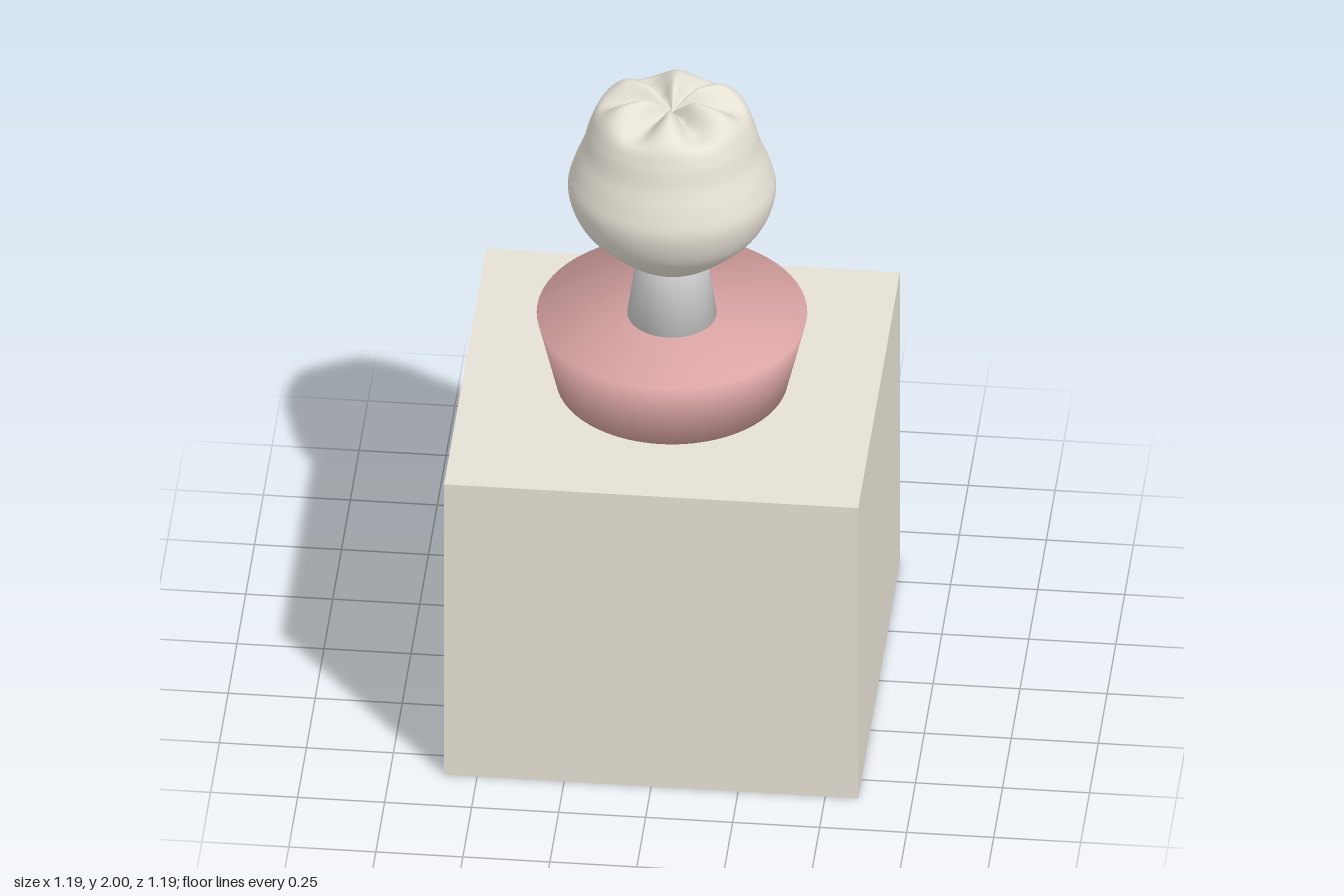
import * as THREE from 'three';
import { mergeVertices } from 'three/addons/utils/BufferGeometryUtils.js';

// Weld vertices so normals flow smoothly over every edge
function smooth(geometry) {
  geometry.deleteAttribute('uv');
  geometry.deleteAttribute('normal');
  const welded = mergeVertices(geometry, 1e-4);
  welded.computeVertexNormals();
  return welded;
}

function addPart(group, name, geometry, color, y = 0) {
  const mesh = new THREE.Mesh(geometry, new THREE.MeshStandardMaterial({ color }));
  mesh.name = name;
  mesh.position.y = y;
  group.add(mesh);
}

// Flower-bud shaped head: an oval lathe whose crown is folded into six lobes
function headGeometry() {
  const profile = [
    [0, 1.42], [0.1, 1.43], [0.185, 1.49], [0.267, 1.58], [0.298, 1.68], [0.282, 1.75],
    [0.255, 1.82], [0.237, 1.885], [0.213, 1.935], [0.17, 1.96], [0.115, 1.97], [0.06, 1.965], [0, 1.935],
  ].map(([r, y]) => new THREE.Vector3(r, y, 0));
  const points = new THREE.CatmullRomCurve3(profile, false, 'centripetal').getPoints(90)
    .map((p) => new THREE.Vector2(Math.max(p.x, 0), p.y));
  points[0].x = points[points.length - 1].x = 0;

  const geometry = new THREE.LatheGeometry(points, 96);
  const pos = geometry.attributes.position;
  for (let i = 0; i < pos.count; i++) {
    const x = pos.getX(i), y = pos.getY(i), z = pos.getZ(i);
    const r = Math.hypot(x, z), a = Math.atan2(z, x);
    const fold = THREE.MathUtils.smoothstep(y, 1.72, 1.96) * Math.min(1, r / 0.08);
    const crown = y > 1.9 || r < 0.2 && y > 1.7 ? Math.min(1, r / 0.08) : fold;
    const fade = crown * THREE.MathUtils.smoothstep(0.25 - r, 0, 0.1);
    const lobe = -0.024 * Math.cos(6 * a) + 0.007 * Math.cos(2 * a);
    pos.setXYZ(i, x, y + lobe * fade, z * 0.925);
  }
  return smooth(geometry);
}

export function createModel() {
  const group = new THREE.Group();
  const stone = 0xe6e1d5;

  // Square pedestal
  addPart(group, 'pedestal', new THREE.BoxGeometry(1.19, 1.01, 1.19), stone, 0.505);

  // Flared drum with a closed, softly shaded top
  addPart(group, 'collar', smooth(new THREE.CylinderGeometry(0.387, 0.332, 0.23, 64)), 0xdba5a5, 1.125);

  // Tapered neck
  addPart(group, 'neck', smooth(new THREE.CylinderGeometry(0.1, 0.128, 0.2, 48)), 0xcccccc, 1.34);

  // Lobed head
  addPart(group, 'head', headGeometry(), stone);
  return group;
}
